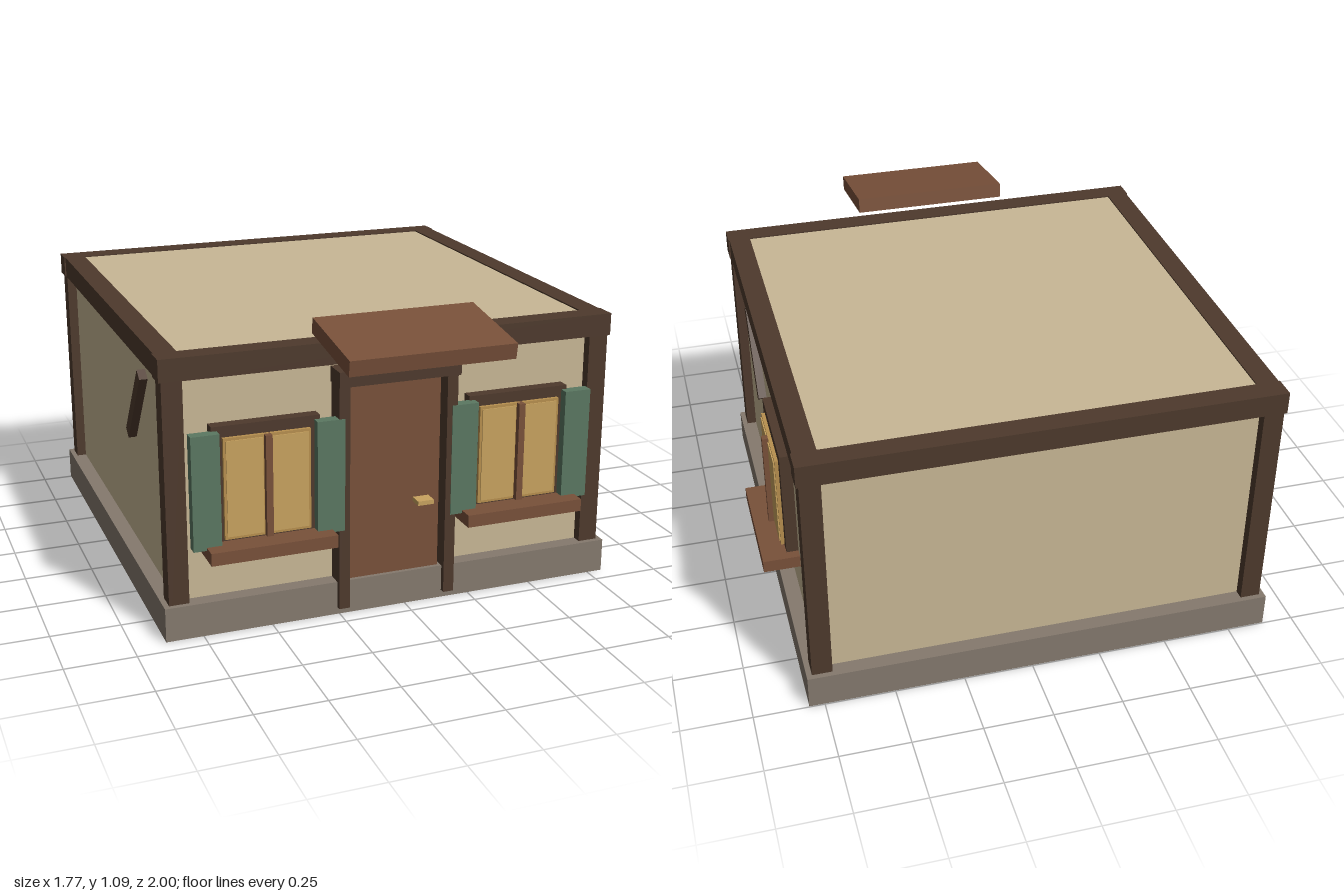
import * as THREE from 'three';

const mat = (name, color) => {
  const m = new THREE.MeshStandardMaterial({ color });
  m.name = name;
  return m;
};
const plaster = mat('plaster', 0xc9b896);
const stone = mat('stone', 0x857a6e);
const darkWood = mat('dark wood', 0x4e3a2d);
const wood = mat('wood', 0x79513a);
const paint = mat('green paint', 0x5b7862);
const glow = mat('window glow', 0xc9a35f);
const trim = mat('window trim', 0xb8904f);

// Box given by its min/max extents on each axis
function box(parent, name, material, [x0, x1], [y0, y1], [z0, z1]) {
  const mesh = new THREE.Mesh(new THREE.BoxGeometry(x1 - x0, y1 - y0, z1 - z0), material);
  mesh.position.set((x0 + x1) / 2, (y0 + y1) / 2, (z0 + z1) / 2);
  mesh.name = name;
  parent.add(mesh);
  return mesh;
}

// Window facing +z, with its wall plane at z = 0
function makeWindow(shutters) {
  const g = new THREE.Group();
  g.name = 'window';
  box(g, 'windowFrame', darkWood, [-0.192, 0.192], [0.335, 0.755], [-0.02, 0.043]);
  box(g, 'sash', trim, [-0.155, 0.155], [0.35, 0.715], [0, 0.056]);
  box(g, 'mullion', wood, [-0.012, 0.012], [0.35, 0.715], [0, 0.078]);
  box(g, 'windowSill', wood, [-0.226, 0.226], [0.295, 0.341], [-0.01, 0.132]);
  for (const s of [-1, 1]) {
    const pane = box(g, 'pane', glow, [-0.065, 0.065], [0.36, 0.705], [0.053, 0.06]);
    pane.position.x = s * 0.081;
    if (shutters) {
      const shutter = box(g, 'shutter', paint, [-0.05, 0.05], [0.33, 0.74], [0.036, 0.077]);
      shutter.position.x = s * 0.222;
    }
  }
  return g;
}

export function createModel() {
  const model = new THREE.Group();
  model.name = 'cottage';

  // House body, centred on its own square plan
  const house = new THREE.Group();
  house.name = 'house';
  house.position.set(-0.04, 0, -0.155);
  model.add(house);
  box(house, 'foundation', stone, [-0.845, 0.845], [0.003, 0.127], [-0.845, 0.845]);
  box(house, 'walls', plaster, [-0.79, 0.79], [0, 1.0], [-0.79, 0.79]);

  for (const s of [-1, 1]) {
    // Corner posts
    for (const t of [-1, 1]) {
      const post = box(house, 'cornerPost', darkWood, [-0.036, 0.036], [0, 0.93], [-0.036, 0.036]);
      post.position.x = s * 0.79;
      post.position.z = t * 0.79;
    }
    // Top beams
    const cross = box(house, 'crossBeam', darkWood, [-0.835, 0.835], [0.925, 1.005], [-0.04, 0.04]);
    cross.position.z = s * 0.79;
    const side = box(house, 'sideBeam', darkWood, [-0.04, 0.04], [0.925, 1.005], [-0.75, 0.75]);
    side.position.x = s * 0.79;
    // Slanted wall braces
    const brace = box(house, 'wallBrace', darkWood, [-0.025, 0.025], [-0.178, 0.178], [-0.022, 0.022]);
    brace.position.set(s * 0.795, 0.708, 0.365);
    brace.rotation.x = 0.65;
  }

  // Windows: two with shutters at the front, one plain on the left side
  for (const x of [-0.512, 0.433]) {
    const w = makeWindow(true);
    w.position.set(x, 0, 0.635);
    model.add(w);
  }
  const sideWindow = makeWindow(false);
  sideWindow.position.set(0.75, 0, -0.375);
  sideWindow.rotation.y = Math.PI / 2;
  model.add(sideWindow);

  // Door with its frame and handle
  const door = new THREE.Group();
  door.name = 'doorway';
  door.position.set(-0.04, 0, 0);
  model.add(door);
  box(door, 'door', wood, [-0.17, 0.17], [0.1, 0.856], [0.62, 0.675]);
  for (const s of [-1, 1]) {
    const jamb = box(door, 'doorJamb', darkWood, [-0.02, 0.02], [0.03, 0.87], [0.63, 0.71]);
    jamb.position.x = s * 0.201;
  }
  box(door, 'doorHeader', darkWood, [-0.225, 0.225], [0.855, 0.91], [0.63, 0.725]);
  box(door, 'doorHandle', glow, [0.07, 0.13], [0.388, 0.404], [0.67, 0.725]);

  // Tilted canopy above the door
  const canopy = box(model, 'canopy', wood, [-0.335, 0.255], [-0.028, 0.028], [-0.176, 0.176]);
  canopy.position.y = 1.035;
  canopy.position.z = 0.822;
  canopy.rotation.x = 0.157;

  return model;
}
